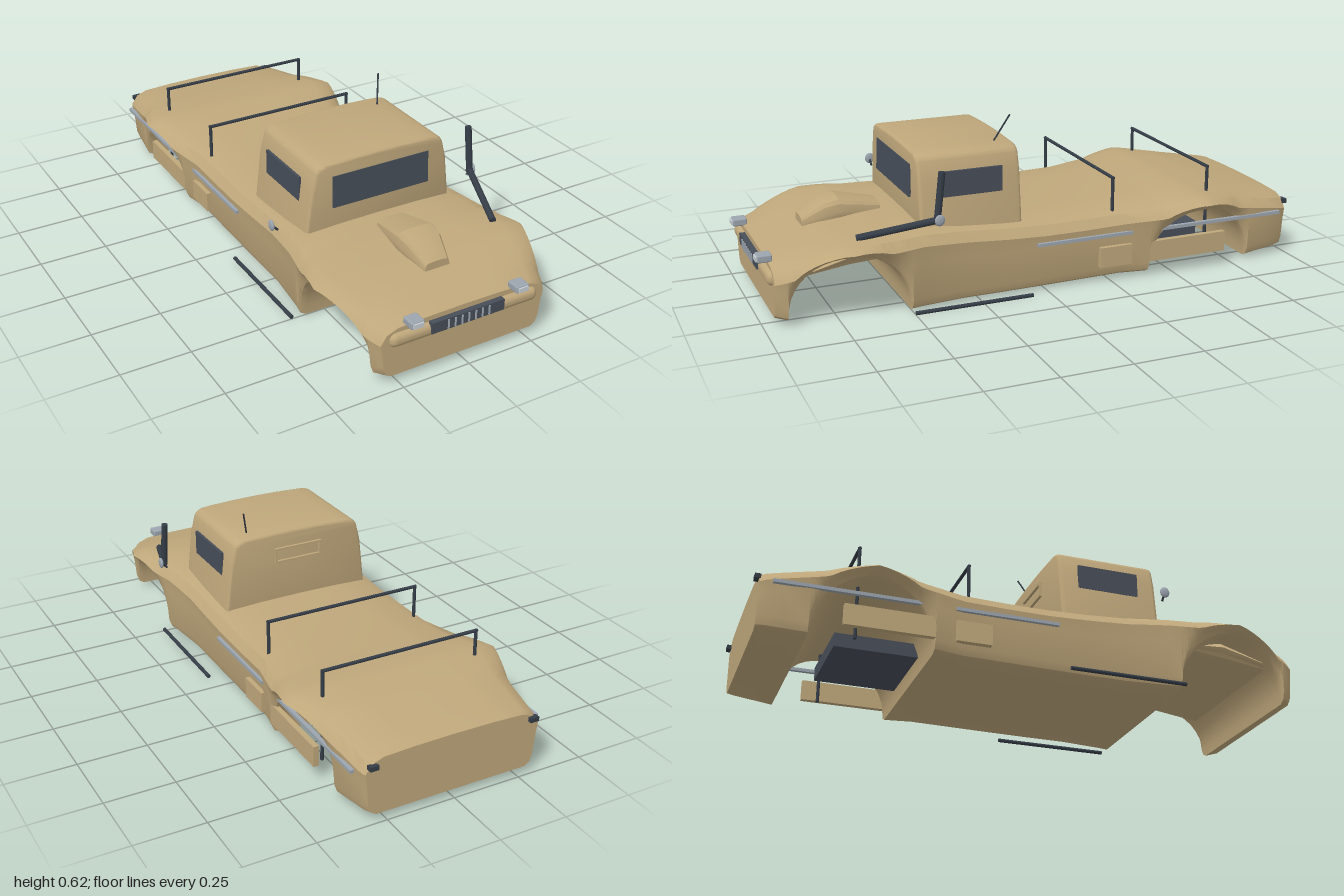
import * as THREE from 'three';
import { toCreasedNormals } from 'three/addons/utils/BufferGeometryUtils.js';
import { RoundedBoxGeometry } from 'three/addons/geometries/RoundedBoxGeometry.js';

const material = (name, color) => {
  const m = new THREE.MeshStandardMaterial({ color });
  m.name = name;
  return m;
};

// Linear interpolation through [z, value] pairs in rising z
function along(table, z) {
  for (let i = 1; i < table.length; i++) {
    const [z0, v0] = table[i - 1], [z1, v1] = table[i];
    if (z <= z1) return v0 + (v1 - v0) * Math.max(0, (z - z0) / (z1 - z0));
  }
  return table[table.length - 1][1];
}

// Rounded section with half width w, top t and bottom b
function ring({ z, w, t, b }) {
  const h = t - b, c = Math.min(0.055, h * 0.5), d = Math.min(0.04, h * 0.3);
  const half = [
    [0, t], [0.45 * w, t - 0.03 * c], [0.8 * w, t - 0.12 * c], [0.93 * w, t - 0.4 * c],
    [w, t - c], [0.98 * w, t - c - 0.25 * (h - c)], [0.96 * w, b + d], [0.93 * w, b + 0.3 * d],
    [0.87 * w, b], [0, b],
  ];
  const other = half.slice(1, -1).reverse().map(([x, y]) => [-x, y]);
  return [...half, ...other].map(([x, y]) => [x, y, z]);
}

// Skin over sections in rising z, closed at both ends
function loft(rows, crease = 0.6) {
  const rings = rows.map(ring), n = rings[0].length, last = rings.length - 1;
  const pos = rings.flat(2), idx = [];
  for (let i = 0; i < last; i++) for (let j = 0; j < n; j++) {
    const k = (j + 1) % n, a = i * n + j, b = i * n + k;
    idx.push(a, a + n, b, b, a + n, b + n);
  }
  const mid = pos.length / 3;
  for (const r of [rows[0], rows[last]]) pos.push(0, (r.t + r.b) / 2, r.z);
  for (let j = 0; j < n; j++) {
    const k = (j + 1) % n;
    idx.push(mid, j, k, mid + 1, last * n + k, last * n + j);
  }
  const g = new THREE.BufferGeometry();
  g.setAttribute('position', new THREE.Float32BufferAttribute(pos, 3));
  g.setIndex(idx);
  return toCreasedNormals(g, crease);
}

export function createModel() {
  const model = new THREE.Group();
  model.name = 'truckBody';
  const tan = material('tan paint', 0xbfa77b);
  const glass = material('slate glass', 0x474e59);
  const dark = material('dark metal', 0x353d47);
  const silver = material('silver trim', 0x9ca5af);
  const lens = material('pale lens', 0xc9d1d6);

  const add = (name, geometry, mat, x = 0, y = 0, z = 0) => {
    const m = new THREE.Mesh(geometry, mat);
    m.name = name;
    m.position.set(x, y, z);
    model.add(m);
    return m;
  };
  const box = (name, mat, w, h, d, x, y, z) => add(name, new THREE.BoxGeometry(w, h, d), mat, x, y, z);
  const rod = (name, mat, from, to, r) => {
    const a = new THREE.Vector3(...from), b = new THREE.Vector3(...to);
    const m = add(name, new THREE.CylinderGeometry(r, r, a.distanceTo(b), 12), mat);
    m.position.copy(a).add(b).multiplyScalar(0.5);
    m.quaternion.setFromUnitVectors(new THREE.Vector3(0, 1, 0), b.sub(a).normalize());
    return m;
  };

  // Main body with both wheel arches cut across it
  const width = [[-0.985, 0.325], [-0.96, 0.335], [-0.77, 0.36], [-0.61, 0.41], [-0.3, 0.345],
    [0.3, 0.342], [0.46, 0.36], [0.71, 0.41], [0.93, 0.335], [0.96, 0.315]];
  const top = [[-0.985, 0.235], [-0.95, 0.243], [-0.75, 0.276], [-0.6, 0.289], [-0.45, 0.275], [-0.25, 0.263],
    [0, 0.262], [0.2, 0.27], [0.45, 0.29], [0.6, 0.287], [0.75, 0.268], [0.9, 0.228], [0.96, 0.21]];
  const floor = [[-0.985, 0.025], [-0.82, 0.012], [-0.4, 0.012], [0.1, 0.005], [0.5, 0.004], [0.92, 0.02], [0.96, 0.028]];
  const rows = [];
  const section = (z, b = along(floor, z)) => rows.push({ z, w: along(width, z), t: along(top, z), b });
  const arch = (c) => {
    const r = 0.21, steps = 20;
    for (let i = 0; i <= steps; i++) {
      const a = Math.PI * (1 - i / steps), z = c + r * Math.cos(a);
      section(z, along(floor, z) + 0.222 * Math.sin(a));
    }
  };
  [-0.985, -0.96, -0.9].forEach((z) => section(z));
  arch(-0.61);
  [-0.3, -0.15, 0, 0.15, 0.3, 0.4, 0.46].forEach((z) => section(z));
  arch(0.71);
  [0.94, 0.96].forEach((z) => section(z));
  add('body', loft(rows), tan);

  // Engine bay floor inside the front arch
  add('engineBayFloor', loft([
    { z: 0.5, w: 0.3, t: 0.21, b: 0.19 }, { z: 0.7, w: 0.3, t: 0.25, b: 0.173 }, { z: 0.91, w: 0.3, t: 0.165, b: 0.152 },
  ]), tan);

  // Hood scoop
  add('hoodScoop', loft([
    { z: 0.52, w: 0.058, t: 0.31, b: 0.25 }, { z: 0.6, w: 0.068, t: 0.328, b: 0.25 },
    { z: 0.67, w: 0.076, t: 0.344, b: 0.25 }, { z: 0.72, w: 0.07, t: 0.335, b: 0.24 },
    { z: 0.8, w: 0.048, t: 0.283, b: 0.23 },
  ], 0.4), tan);

  // Cab: tapering front outline with a crowned roof
  const s = new THREE.Shape();
  s.moveTo(-0.28, 0.24);
  s.lineTo(0.28, 0.24);
  s.lineTo(0.258, 0.43);
  s.lineTo(0.243, 0.49);
  s.quadraticCurveTo(0.238, 0.508, 0.21, 0.512);
  s.quadraticCurveTo(0, 0.525, -0.21, 0.512);
  s.quadraticCurveTo(-0.238, 0.508, -0.243, 0.49);
  s.lineTo(-0.258, 0.43);
  const cab = new THREE.ExtrudeGeometry(s, {
    depth: 0.344, bevelEnabled: true, bevelSize: 0.012, bevelThickness: 0.015, bevelSegments: 3, curveSegments: 10,
  });
  add('cab', toCreasedNormals(cab, 0.6), tan, 0, 0, 0.09);
  const shield = box('windshield', glass, 0.38, 0.116, 0.008, 0, 0.418, 0.451);
  shield.rotation.x = -0.05;

  // Framed slot in the back of the cab
  for (const side of [-1, 1]) {
    box('rearSlotRail', tan, 0.19, 0.008, 0.014, 0, 0.44 + side * 0.025, 0.072);
    box('rearSlotEnd', tan, 0.008, 0.05, 0.014, side * 0.091, 0.44, 0.072);
  }

  // Bumper bar and grille
  add('bumperBar', new RoundedBoxGeometry(0.57, 0.053, 0.05, 5, 0.024), tan, 0, 0.163, 0.952);
  box('grille', glass, 0.28, 0.04, 0.02, 0, 0.174, 0.973);
  for (let i = -3; i <= 3; i++) box('grilleBar', silver, 0.004, 0.034, 0.006, i * 0.0262, 0.174, 0.985);

  for (const side of [-1, 1]) {
    // Lamps
    add('headlightHousing', new RoundedBoxGeometry(0.05, 0.026, 0.05, 2, 0.005), silver, side * 0.202, 0.218, 0.97);
    box('headlightLens', lens, 0.038, 0.017, 0.006, side * 0.202, 0.218, 0.997);
    box('rearLamp', dark, 0.032, 0.016, 0.02, side * 0.3, 0.205, -0.99);

    // Side window, trim rails and storage boxes
    box('sideWindow', glass, 0.009, 0.09, 0.23, side * 0.2735, 0.417, 0.26);
    box('frontTrimRail', silver, 0.014, 0.012, 0.37, side * 0.345, 0.178, -0.145);
    box('rearTrimRail', silver, 0.014, 0.012, 0.56, side * 0.348, 0.178, -0.665);
    box('storageBox', tan, 0.03, 0.075, 0.125, side * 0.338, 0.098, -0.265);
    box('archPanel', tan, 0.02, 0.075, 0.31, side * 0.345, 0.097, -0.555);
    rod('stepBar', dark, [side * 0.376, 0.009, 0.07], [side * 0.376, 0.009, 0.5], 0.007);

    // Mirror
    add('mirror', new THREE.SphereGeometry(0.02, 16, 12), silver, side * 0.406, 0.338, 0.42).scale.set(0.35, 1, 0.9);
    rod('mirrorArm', dark, [side * 0.404, 0.335, 0.42], [side * 0.383, 0.315, 0.42], 0.004);
  }

  // Tank slung between the rear arches
  box('tank', glass, 0.32, 0.05, 0.3, 0, 0.09, -0.55);

  // Hoops over the bed
  for (const [z, foot] of [[-0.272, 0.2], [-0.658, 0.04]]) {
    rod('hoopTop', dark, [-0.3, 0.374, z], [0.3, 0.374, z], 0.006);
    for (const side of [-1, 1]) rod('hoopLeg', dark, [side * 0.295, foot, z], [side * 0.295, 0.378, z], 0.006);
  }

  // Exhaust stack and aerial
  rod('exhaustPipe', dark, [0.31, 0.28, 0.68], [0.392, 0.335, 0.425], 0.012);
  rod('exhaustStack', dark, [0.392, 0.33, 0.425], [0.39, 0.5, 0.405], 0.012);
  add('exhaustElbow', new THREE.SphereGeometry(0.014, 12, 10), dark, 0.392, 0.335, 0.425);
  rod('aerial', dark, [0.173, 0.51, 0.145], [0.21, 0.622, 0.09], 0.003);

  return model;
}
